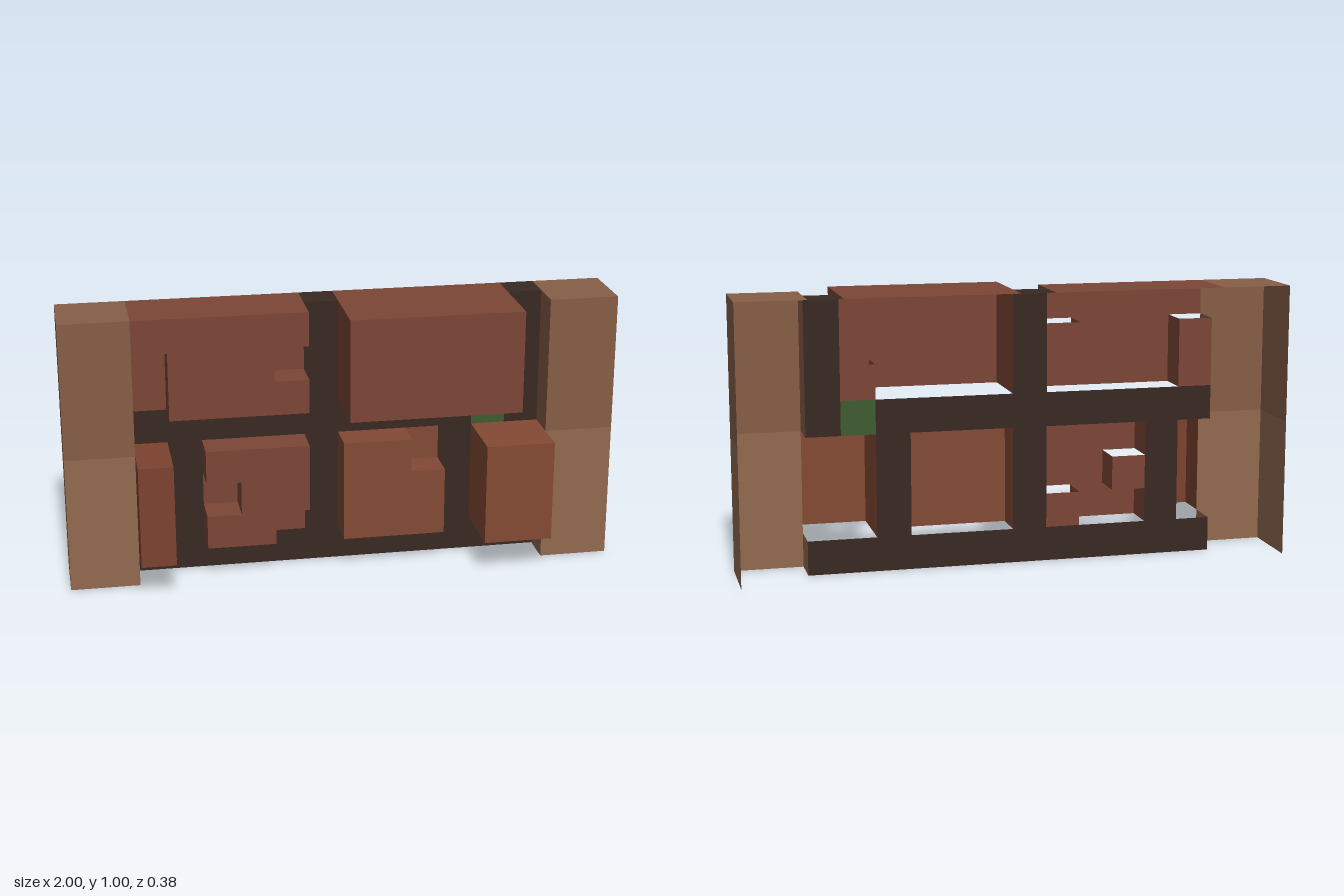
import * as THREE from 'three';
import { mergeGeometries } from 'three/addons/utils/BufferGeometryUtils.js';

// The wall sits on a grid of 16 x 8 x 3 cells; layer 0 is the rear one.
const U = 0.125, NX = 16, NY = 8, NZ = 3;

// box: [x0, x1, y0, y1, layers] in cells; cuts: same ranges with [z0, z1] removed
const PARTS = [
  { name: 'mortar', color: 0x392923, box: [2, 14, 0, 8, 1] },
  { name: 'mossPatch', color: 0x3f5c30, box: [12, 13, 4, 5, 1] },
  { name: 'rightPillarLower', color: 0x91694e, box: [0, 2, 0, 4, 2] },
  { name: 'rightPillarUpper', color: 0x865e46, box: [0, 2, 4, 8, 2] },
  { name: 'leftPillarLower', color: 0x91694e, box: [14, 16, 0, 4, 2] },
  { name: 'leftPillarUpper', color: 0x865e46, box: [14, 16, 4, 8, 2] },
  { name: 'upperRightBrick', color: 0x7c4636, box: [2, 7, 5, 8, 2],
    cuts: [[2, 3, 5, 7, 1, 2], [6, 7, 6, 7, 1, 2]] },
  { name: 'upperLeftBrick', color: 0x7c4636, box: [8, 13, 5, 8, 3],
    cuts: [[12, 13, 5, 6, 1, 2]] },
  { name: 'lowerRightEndBrick', color: 0x7c4230, box: [2, 3, 1, 4, 3] },
  { name: 'lowerRightBrick', color: 0x7c4636, box: [4, 7, 1, 4, 2],
    cuts: [[4, 5, 2, 3, 1, 2], [6, 7, 1, 2, 1, 2]] },
  { name: 'lowerLeftBrick', color: 0x824a35, box: [8, 11, 1, 4, 2],
    cuts: [[10, 11, 3, 4, 1, 2]] },
  { name: 'lowerLeftEndBrick', color: 0x844a34, box: [12, 14, 1, 4, 3] },
];

// Only front, side and top faces exist: the back and all undersides are open.
const FACES = [
  { dir: [0, 0, 1], turn: (g) => g },
  { dir: [1, 0, 0], turn: (g) => g.rotateY(Math.PI / 2) },
  { dir: [-1, 0, 0], turn: (g) => g.rotateY(-Math.PI / 2) },
  { dir: [0, 1, 0], turn: (g) => g.rotateX(-Math.PI / 2) },
];

const key = (x, y, z) => `${x},${y},${z}`;

function fillCells(owner, { name, box: [x0, x1, y0, y1, depth], cuts = [] }) {
  for (let x = x0; x < x1; x++)
    for (let y = y0; y < y1; y++)
      for (let z = 0; z < depth; z++) {
        const cut = cuts.some(([a, b, c, d, e, f]) =>
          x >= a && x < b && y >= c && y < d && z >= e && z < f);
        if (!cut) owner.set(key(x, y, z), name);
      }
}

// One square for every exposed cell face of a part
function partGeometry(owner, name) {
  const quads = [];
  for (const [k, part] of owner) {
    if (part !== name) continue;
    const [x, y, z] = k.split(',').map(Number);
    for (const { dir, turn } of FACES) {
      if (owner.has(key(x + dir[0], y + dir[1], z + dir[2]))) continue;
      quads.push(turn(new THREE.PlaneGeometry(U, U)).translate(
        (x + 0.5 - NX / 2 + dir[0] / 2) * U,
        (y + 0.5 + dir[1] / 2) * U,
        (z + 0.5 - NZ / 2 + dir[2] / 2) * U));
    }
  }
  return mergeGeometries(quads);
}

export function createModel() {
  const group = new THREE.Group();
  group.name = 'brickWall';

  // Later parts replace the mortar cells they cover
  const owner = new Map();
  PARTS.forEach((part) => fillCells(owner, part));

  for (const { name, color } of PARTS) {
    const material = new THREE.MeshStandardMaterial({ color, side: THREE.DoubleSide });
    const mesh = new THREE.Mesh(partGeometry(owner, name), material);
    mesh.name = name;
    group.add(mesh);
  }
  return group;
}
